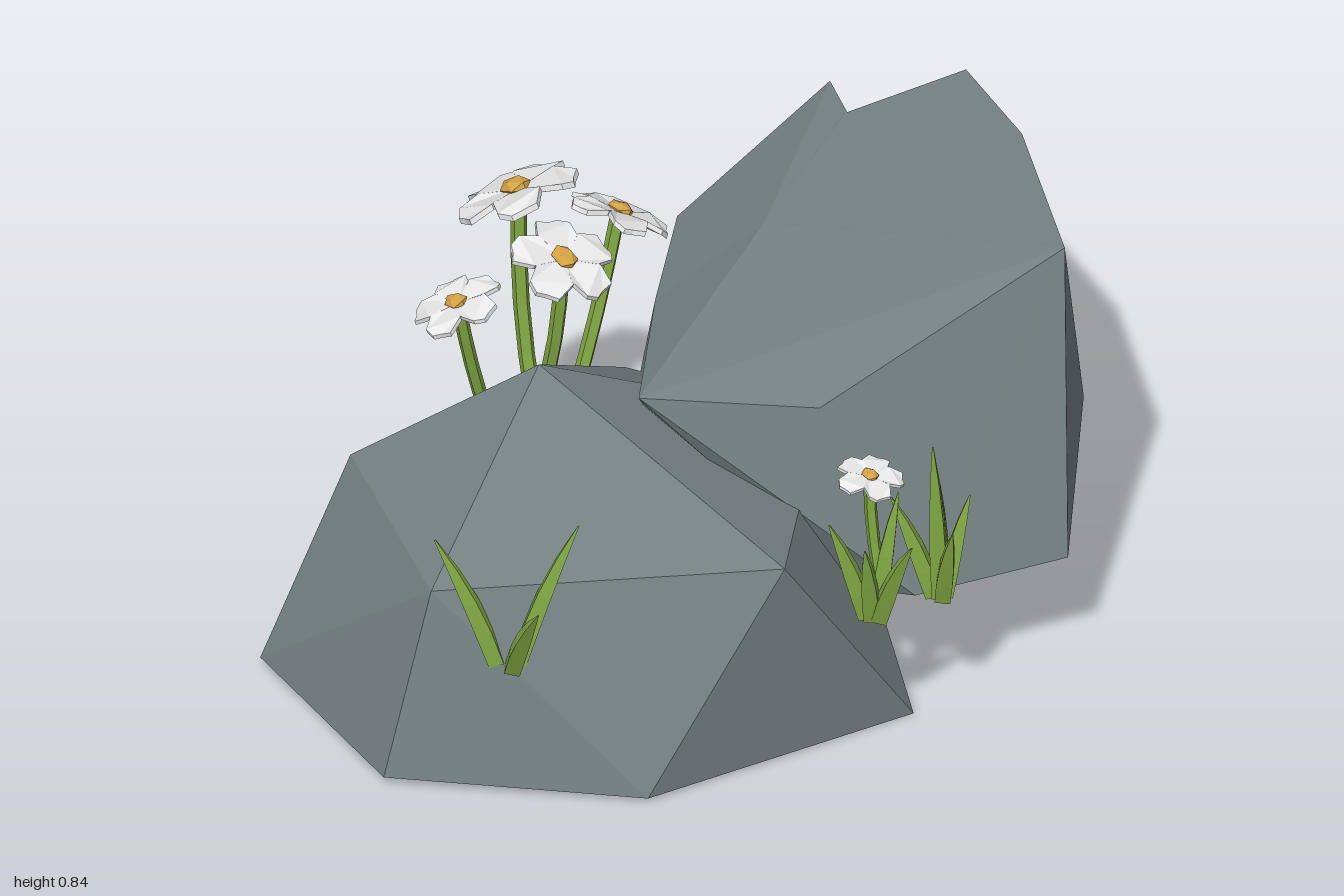
import * as THREE from 'three';
import { ConvexGeometry } from 'three/addons/geometries/ConvexGeometry.js';

const V = (p) => new THREE.Vector3(...p);

export function createModel() {
  const group = new THREE.Group();
  group.name = 'rocksWithFlowers';

  const material = (name, color, extra = {}) => {
    const m = new THREE.MeshStandardMaterial({ color, flatShading: true, ...extra });
    m.name = name;
    return m;
  };
  const stone = material('stone', 0x737f81);
  const green = material('leafGreen', 0x7fa542);
  const white = material('petalWhite', 0xe8e8e8, { side: THREE.DoubleSide });
  const gold = material('flowerGold', 0xd4a344);

  const add = (parent, name, geometry, mat) => {
    const mesh = new THREE.Mesh(geometry, mat);
    mesh.name = name;
    parent.add(mesh);
    return mesh;
  };
  const rock = (name, points) => add(group, name, new ConvexGeometry(points.map(V)), stone);

  // Low domed boulder: base ring, shoulder ring, apex
  rock('lowRock', [
    [-1, 0.02, 0.07], [-0.63, 0.01, 0.48], [0.02, 0, 0.57], [0.23, 0.015, 0.07],
    [0.12, 0.015, -0.45], [-0.39, 0.02, -0.69], [-0.88, 0.02, -0.46],
    [-0.87, 0.42, 0.07], [-0.29, 0.45, 0.52], [0.2, 0.42, 0.07],
    [0.04, 0.4, -0.37], [-0.65, 0.43, -0.44],
    [-0.41, 0.7, -0.12],
  ]);

  // Raised slab leaning on the boulder
  rock('raisedRock', [
    [-0.31, 0.67, 0.08], [-0.03, 0.65, 0.33], [0.26, 0.73, 0.11], [0.59, 0.82, 0.39],
    [0.81, 0.83, 0], [0.89, 0.83, -0.27], [0.62, 0.8, -0.34], [0.24, 0.765, -0.16],
    [0.03, 0.62, -0.26], [0, 0.235, 0.4], [0.05, 0.26, 0.54], [0.4, 0.25, 0.62],
    [0.91, 0.19, 0.08], [1, 0.22, -0.28], [0.8, 0.33, -0.38], [0.08, 0.26, -0.3],
  ]);

  // Sloping ledge at the back of the slab, forming the notch
  rock('backLedge', [
    [0.03, 0.62, -0.26], [0.24, 0.765, -0.16], [0.62, 0.8, -0.33], [0.69, 0.79, -0.47],
    [0.28, 0.62, -0.48], [0.82, 0.34, -0.48], [0.81, 0.34, -0.38],
    [0.2, 0.18, -0.48], [0.08, 0.19, -0.41], [0.22, 0.17, -0.35], [0.22, 0.19, -0.12],
  ]);

  // Sweeps a ring along a curve; radius(t) sets the taper
  function stalk(points, sides, radius) {
    const curve = new THREE.QuadraticBezierCurve3(...points.map(V));
    const geo = new THREE.CylinderGeometry(1, 1, 1, sides, 4);
    const pos = geo.attributes.position;
    const up = new THREE.Vector3(0, 1, 0);
    for (let i = 0; i < pos.count; i++) {
      const t = THREE.MathUtils.clamp(pos.getY(i) + 0.5, 0, 1);
      const q = new THREE.Quaternion().setFromUnitVectors(up, curve.getTangent(t));
      const v = new THREE.Vector3(pos.getX(i), 0, pos.getZ(i))
        .multiplyScalar(radius(t)).applyQuaternion(q).add(curve.getPoint(t));
      pos.setXYZ(i, v.x, v.y, v.z);
    }
    geo.computeVertexNormals();
    return geo;
  }

  // Grass tufts: base and blade tips
  const tufts = [
    [[-0.78, 0.27, 0.21], [[-0.86, 0.54, 0.07], [-0.63, 0.57, 0.26], [-0.81, 0.46, 0.34]]],
    [[-0.09, 0.28, 0.57], [[-0.16, 0.5, 0.51], [-0.08, 0.49, 0.68], [-0.03, 0.56, 0.58], [-0.14, 0.47, 0.6]]],
    [[0.07, 0.28, 0.6], [[0.055, 0.64, 0.59], [0.01, 0.5, 0.51], [0.14, 0.5, 0.61], [0.04, 0.47, 0.67], [0.1, 0.52, 0.56]]],
  ];
  tufts.forEach(([base, tips]) => {
    const tuft = new THREE.Group();
    tuft.name = 'grassTuft';
    group.add(tuft);
    tips.forEach((tip) => {
      // Blades start slightly apart, rise, then lean outward
      const root = base.map((b, k) => (k === 1 ? b : b + (tip[k] - b) * 0.15));
      const mid = root.map((r, k) => r + (tip[k] - r) * (k === 1 ? 0.5 : 0.35));
      const width = (t) => 0.002 + 0.028 * (1 - t) * (0.75 + 1.2 * t);
      add(tuft, 'grassBlade', stalk([root, mid, tip], 4, width), green);
    });
  });

  // Five-petal blossom facing +y, unit radius
  const outline = [[0.1, -0.08], [0.5, -0.38], [0.88, -0.34], [1, -0.14], [0.95, 0.04],
    [0.95, 0.3], [0.55, 0.4], [0.1, 0.08]];
  const petal = new THREE.ExtrudeGeometry(
    new THREE.Shape(outline.map(([x, y]) => new THREE.Vector2(x, y))),
    { depth: 0.1, bevelEnabled: false });
  petal.rotateX(-Math.PI / 2);
  const pp = petal.attributes.position;
  for (let i = 0; i < pp.count; i++) {
    const x = pp.getX(i), z = pp.getZ(i);
    pp.setY(i, pp.getY(i) + 0.15 * Math.abs(z) + 0.12 * x - 0.2 * x * x * x);
  }
  petal.computeVertexNormals();
  const heart = new THREE.IcosahedronGeometry(0.25, 0);
  heart.scale(0.95, 0.55, 1.2);

  // Flowers: stem root, blossom centre, facing direction, radius
  const flowers = [
    [[-0.11, 0.31, -0.48], [-0.08, 0.775, -0.565], [-0.15, 1, -0.42], 0.133],
    [[-0.23, 0.33, -0.49], [-0.31, 0.63, -0.49], [-0.35, 1, -0.2], 0.097],
    [[-0.03, 0.31, -0.45], [0.1, 0.7, -0.46], [0.5, 1, 0], 0.11],
    [[-0.14, 0.36, -0.43], [-0.13, 0.72, -0.37], [0, 1, 0.4], 0.112],
    [[-0.04, 0.28, 0.55], [-0.04, 0.56, 0.5], [0, 1, 0.2], 0.072],
  ];
  flowers.forEach(([root, centre, facing, r], n) => {
    const flower = new THREE.Group();
    flower.name = 'flower';
    group.add(flower);
    const mid = [root[0] * 0.4 + centre[0] * 0.6, root[1] * 0.55 + centre[1] * 0.45, root[2] * 0.05 + centre[2] * 0.95];
    const thick = r * 0.07 + 0.009;
    add(flower, 'stem', stalk([root, mid, centre], 5, () => thick), green);

    const head = new THREE.Group();
    head.name = 'blossom';
    head.position.set(...centre);
    head.quaternion.setFromUnitVectors(new THREE.Vector3(0, 1, 0), V(facing).normalize());
    head.scale.setScalar(r);
    flower.add(head);
    for (let i = 0; i < 5; i++) {
      add(head, 'petal', petal, white).rotation.y = (i / 5) * Math.PI * 2 + n * 0.7 + 0.3;
    }
    add(head, 'flowerCentre', heart, gold).position.y = 0.17;
  });

  return group;
}
